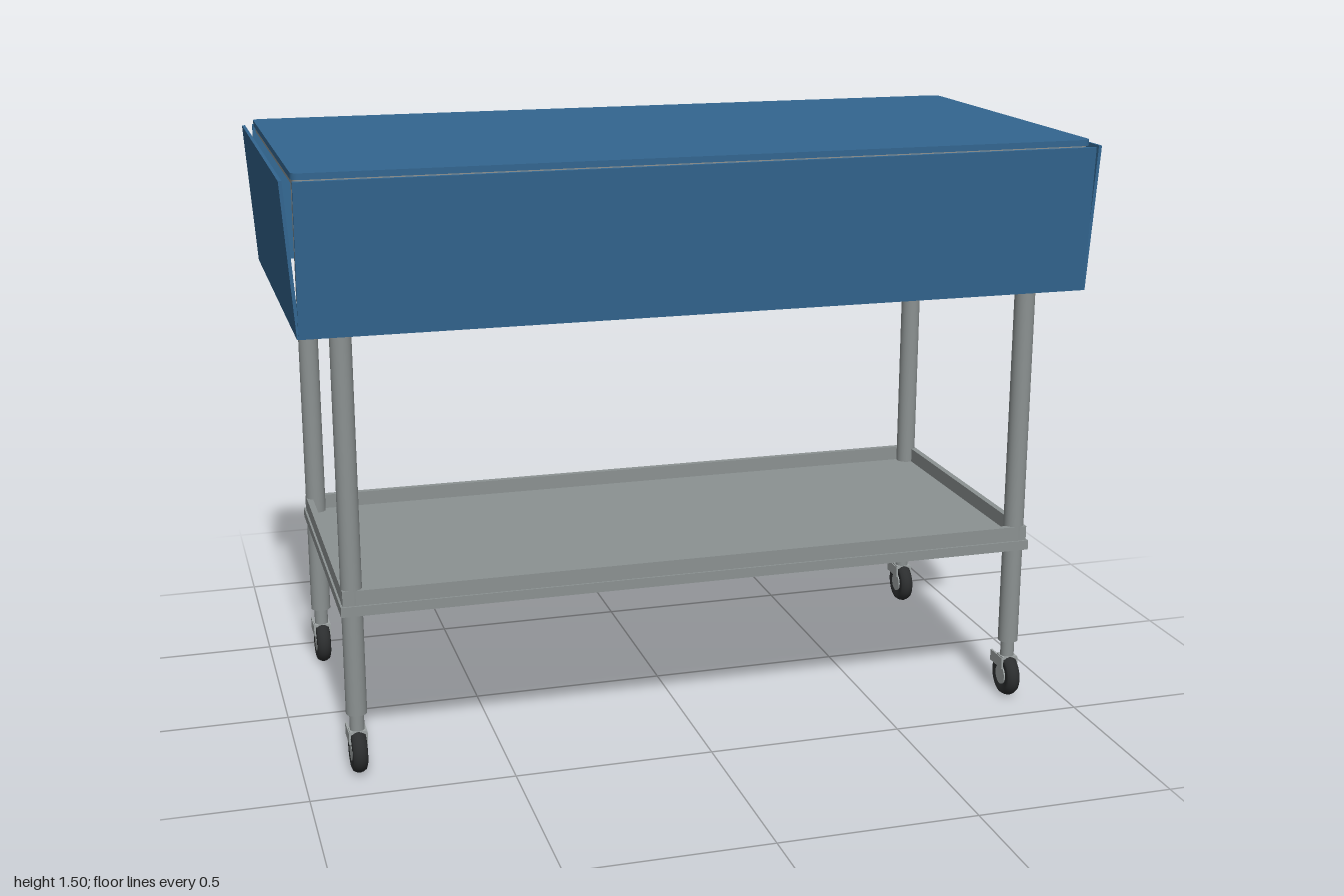
import * as THREE from 'three';

const paint = (color, side = THREE.FrontSide) => new THREE.MeshStandardMaterial({ color, side });

export function createModel() {
  const root = new THREE.Group();
  const blue = paint(0x336690), steel = paint(0x8c9292), rubber = paint(0x2c2e2f), light = paint(0xa0a6a6);
  const LEG_X = 0.865, LEG_Z = 0.365;

  function add(parent, name, geometry, material, x = 0, y = 0, z = 0) {
    const mesh = new THREE.Mesh(geometry, material);
    mesh.name = name;
    mesh.position.set(x, y, z);
    parent.add(mesh);
    return mesh;
  }
  const box = (parent, name, mat, w, h, d, x, y, z) =>
    add(parent, name, new THREE.BoxGeometry(w, h, d), mat, x, y, z);

  // Flat slab with rounded corners, from y0 to y1
  function slab(name, mat, hx, hz, r, y0, y1) {
    const s = new THREE.Shape();
    s.moveTo(-hx + r, -hz);
    s.lineTo(hx - r, -hz);
    s.absarc(hx - r, -hz + r, r, -Math.PI / 2, 0);
    s.absarc(hx - r, hz - r, r, 0, Math.PI / 2);
    s.absarc(-hx + r, hz - r, r, Math.PI / 2, Math.PI);
    s.absarc(-hx + r, -hz + r, r, Math.PI, Math.PI * 1.5);
    const g = new THREE.ExtrudeGeometry(s, { depth: y1 - y0, bevelEnabled: false, curveSegments: 6 });
    g.rotateX(-Math.PI / 2);
    return add(root, name, g, mat, 0, y0, 0);
  }

  // Table top: covered surface over a board
  slab('topCover', blue, 0.971, 0.473, 0.02, 1.48, 1.495);
  slab('topBoard', steel, 0.966, 0.468, 0.02, 1.465, 1.48);

  // Four skirt panels, leaning outward towards the top
  const rise = 0.36, lean = 0.025;
  function skirt(name, length, distance, turn) {
    const pivot = new THREE.Group();
    pivot.name = name;
    pivot.rotation.y = turn;
    const panel = box(pivot, name + 'Panel', blue, length, Math.hypot(rise, lean), 0.008,
      0, 1.12 + rise / 2, distance + lean / 2);
    panel.rotation.x = Math.atan2(lean, rise);
    root.add(pivot);
  }
  skirt('frontSkirt', 1.942, 0.47, 0);
  skirt('backSkirt', 1.942, 0.47, Math.PI);
  skirt('leftSkirt', 0.946, 0.97, Math.PI / 2);
  skirt('rightSkirt', 0.946, 0.97, -Math.PI / 2);

  // Rails under the top and raised rims round the shelf
  box(root, 'shelf', steel, 1.79, 0.025, 0.79, 0, 0.4275, 0);
  for (const s of [-1, 1]) {
    box(root, 'topLongRail', steel, LEG_X * 2, 0.04, 0.035, 0, 1.445, s * LEG_Z);
    box(root, 'topShortRail', steel, 0.035, 0.04, LEG_Z * 2, s * LEG_X, 1.445, 0);
    box(root, 'shelfLongRim', steel, 1.78, 0.038, 0.016, 0, 0.459, s * 0.382);
    box(root, 'shelfShortRim', steel, 0.016, 0.038, 0.748, s * 0.882, 0.459, 0);
  }

  // Caster parts
  const tireProfile = [[0.024, -0.014], [0.042, -0.019], [0.05, -0.016], [0.055, -0.008], [0.057, 0],
    [0.055, 0.008], [0.05, 0.016], [0.042, 0.019], [0.024, 0.014]].map(([r, h]) => new THREE.Vector2(r, h));
  const tire = new THREE.LatheGeometry(tireProfile, 32).rotateZ(Math.PI / 2);
  const hub = new THREE.CylinderGeometry(0.026, 0.026, 0.036, 24).rotateZ(Math.PI / 2);
  const stem = new THREE.CylinderGeometry(0.018, 0.018, 0.055, 20);
  const post = new THREE.CylinderGeometry(0.026, 0.026, 1.315, 24);

  // Legs with casters
  for (const x of [-LEG_X, LEG_X]) for (const z of [-LEG_Z, LEG_Z]) {
    add(root, 'leg', post, steel, x, 0.155 + 1.315 / 2, z);
    const caster = new THREE.Group();
    caster.name = 'caster';
    caster.position.set(x, 0, z);
    add(caster, 'stem', stem, steel, 0, 0.13, 0);
    add(caster, 'tire', tire, rubber, 0, 0.057, 0);
    add(caster, 'hub', hub, light, 0, 0.057, 0);
    // Fork: cheeks over the wheel joined by a bridge at the stem
    for (const s of [-1, 1]) box(caster, 'forkCheek', light, 0.005, 0.03, 0.07, s * 0.0205, 0.094, -0.017);
    box(caster, 'forkBridge', light, 0.041, 0.008, 0.036, 0, 0.108, 0);
    root.add(caster);
  }
  return root;
}
